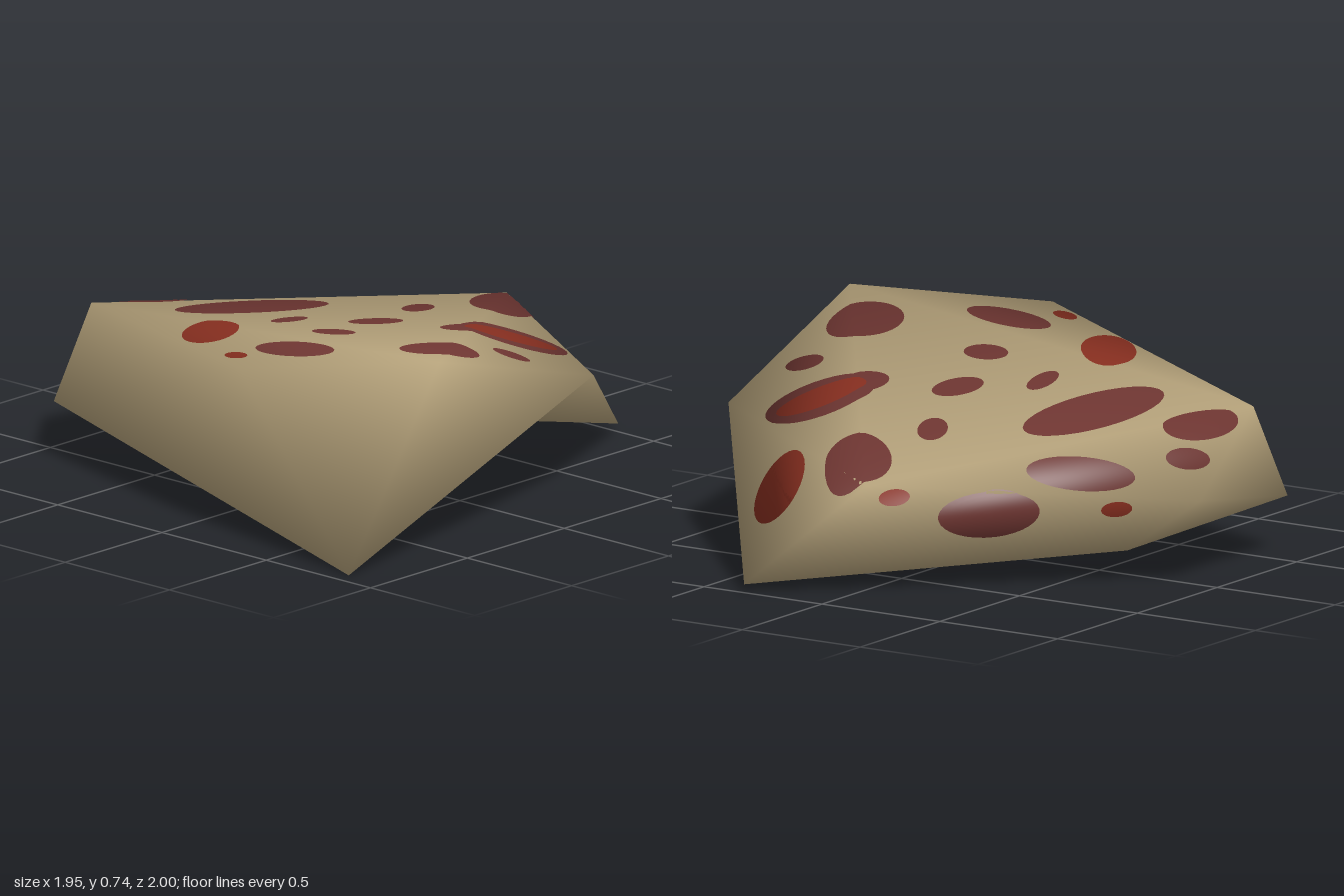
import * as THREE from 'three';

const stone = new THREE.MeshStandardMaterial({ color: 0xb3a079 });
stone.name = 'sandstone';
const maroon = new THREE.MeshStandardMaterial({ color: 0x6d3531 });
maroon.name = 'maroon patch';
const rust = new THREE.MeshStandardMaterial({ color: 0x882f20 });
rust.name = 'rust patch';

// Corners of the broken slab; K is the peak of the hollow underneath
const corners = {
  A: [0.37, 0.675, 0.995], B: [0.97, 0.735, 0.61], C: [0.89, 0.48, -0.27],
  D: [-0.14, 0.43, -0.93], E: [-0.85, 0.55, 0.45], F: [-0.975, 0.32, -0.07],
  G: [0.84, 0, 0.94], H: [0.33, 0.03, -1], I: [-0.68, 0.11, -0.09],
  J: [-0.9, 0.21, 0.59], K: [0.68, 0.32, -0.05],
};
// Top, side walls, then the hollow underside
const faces = 'ABE BDE BCD DFE EJA AJG ABG BCG CDH DFH FIH EFJ FIJ GCK CHK KHI KIJ KJG'.split(' ');

function buildSlab() {
  const names = Object.keys(corners);
  const points = names.map((n) => new THREE.Vector3(...corners[n]));
  const centre = new THREE.Vector3(-0.1, 0.4, 0.1);
  const normals = points.map(() => new THREE.Vector3());
  const index = [];
  for (const face of faces) {
    const [a, b, c] = [...face].map((n) => names.indexOf(n));
    const normal = points[b].clone().sub(points[a]).cross(points[c].clone().sub(points[a])).normalize();
    const outward = normal.dot(points[a].clone().sub(centre)) > 0;
    if (!outward) normal.negate();
    index.push(a, ...(outward ? [b, c] : [c, b]));
    // Every face counts equally, which gives broad, soft shading
    for (const i of [a, b, c]) normals[i].add(normal);
  }
  const geometry = new THREE.BufferGeometry().setFromPoints(points);
  geometry.setIndex(index);
  const flat = normals.flatMap((n) => n.normalize().toArray());
  geometry.setAttribute('normal', new THREE.Float32BufferAttribute(flat, 3));
  const mesh = new THREE.Mesh(geometry, stone);
  mesh.name = 'slab';
  return mesh;
}

// Thin oval patch laid on the slab, seen along -n
function buildPatch(slab, name, material, centre, n, ru, rv, degrees, lift) {
  const ray = new THREE.Raycaster();
  const u = n.y > 0.9 ? new THREE.Vector3(1, 0, 0) : new THREE.Vector3(0, 1, 0).cross(n).normalize();
  const v = n.clone().cross(u);
  const turn = THREE.MathUtils.degToRad(degrees);
  const rings = 6, segments = 32;
  const position = [], normal = [], missed = [], index = [];
  const away = n.clone().negate();
  for (let r = 0; r <= rings; r++) {
    for (let s = 0; s < segments; s++) {
      const t = (s / segments) * Math.PI * 2;
      const p = (ru * Math.cos(t) * r) / rings, q = (rv * Math.sin(t) * r) / rings;
      const origin = centre.clone()
        .addScaledVector(u, p * Math.cos(turn) - q * Math.sin(turn))
        .addScaledVector(v, p * Math.sin(turn) + q * Math.cos(turn))
        .addScaledVector(n, 2);
      ray.set(origin, away);
      const hit = ray.intersectObject(slab)[0];
      missed.push(!hit);
      const spot = hit ? hit.point.clone().addScaledVector(hit.face.normal, lift) : origin;
      position.push(...spot.toArray());
      normal.push(...(hit ? hit.normal : n).toArray());
    }
  }
  const add = (...tri) => { if (!tri.some((i) => missed[i])) index.push(...tri); };
  for (let r = 0; r < rings; r++) {
    for (let s = 0; s < segments; s++) {
      const a = r * segments + s, b = r * segments + ((s + 1) % segments);
      if (r > 0) add(a, a + segments, b);
      add(b, a + segments, b + segments);
    }
  }
  const geometry = new THREE.BufferGeometry();
  geometry.setAttribute('position', new THREE.Float32BufferAttribute(position, 3));
  geometry.setAttribute('normal', new THREE.Float32BufferAttribute(normal, 3));
  geometry.setIndex(index);
  const mesh = new THREE.Mesh(geometry, material);
  mesh.name = name;
  return mesh;
}

// Patches on top: x, z, half length, half width, turn in degrees
const maroonTop = [
  [0.03, -0.725, 0.235, 0.115, -51],
  [0.505, -0.265, 0.195, 0.165, 55],
  [0.42, -0.14, 0.115, 0.085, 75],
  [-0.04, -0.365, 0.105, 0.053, -62],
  [-0.62, -0.295, 0.195, 0.08, 46],
  [-0.415, 0.09, 0.31, 0.14, 76],
  [0.11, 0.015, 0.108, 0.07, 78],
  [0.755, 0.01, 0.07, 0.06, 0],
  [-0.835, 0.06, 0.08, 0.05, 52],
  [-0.77, 0.235, 0.145, 0.075, 62],
  [-0.105, 0.23, 0.097, 0.042, -82],
  [0.21, 0.34, 0.08, 0.07, 10],
  [0.735, 0.36, 0.165, 0.133, -75],
  [0.35, 0.69, 0.165, 0.1, 0],
];
const rustTop = [
  [0.36, -0.725, 0.14, 0.085, -42],
  [0.505, -0.255, 0.165, 0.09, 54],
  [-0.12, 0.62, 0.185, 0.098, -56],
  [0.23, 0.865, 0.055, 0.037, -25],
];

export function createModel() {
  const model = new THREE.Group();
  model.name = 'spotted rock';
  const slab = buildSlab();
  slab.updateMatrixWorld(true);
  model.add(slab);

  const up = new THREE.Vector3(0, 1, 0);
  const layTop = (list, name, material, lift) => list.forEach(([x, z, ru, rv, turn]) =>
    model.add(buildPatch(slab, name, material, new THREE.Vector3(x, 0, z), up, ru, rv, turn, lift)));
  layTop(maroonTop, 'maroonPatch', maroon, 0.004);
  layTop(rustTop, 'rustPatch', rust, 0.007);

  // Patches on the back side wall
  const back = new THREE.Vector3(-0.72, 0, -0.7).normalize();
  const sides = [
    [-0.44, 0.295, -0.59, 0.18, 0.097, maroon],
    [-0.21, 0.38, -0.85, 0.055, 0.036, rust],
    [-0.76, 0.3, -0.27, 0.055, 0.032, rust],
  ];
  for (const [x, y, z, ru, rv, material] of sides) {
    model.add(buildPatch(slab, 'sidePatch', material, new THREE.Vector3(x, y, z), back, ru, rv, 0, 0.004));
  }
  return model;
}
